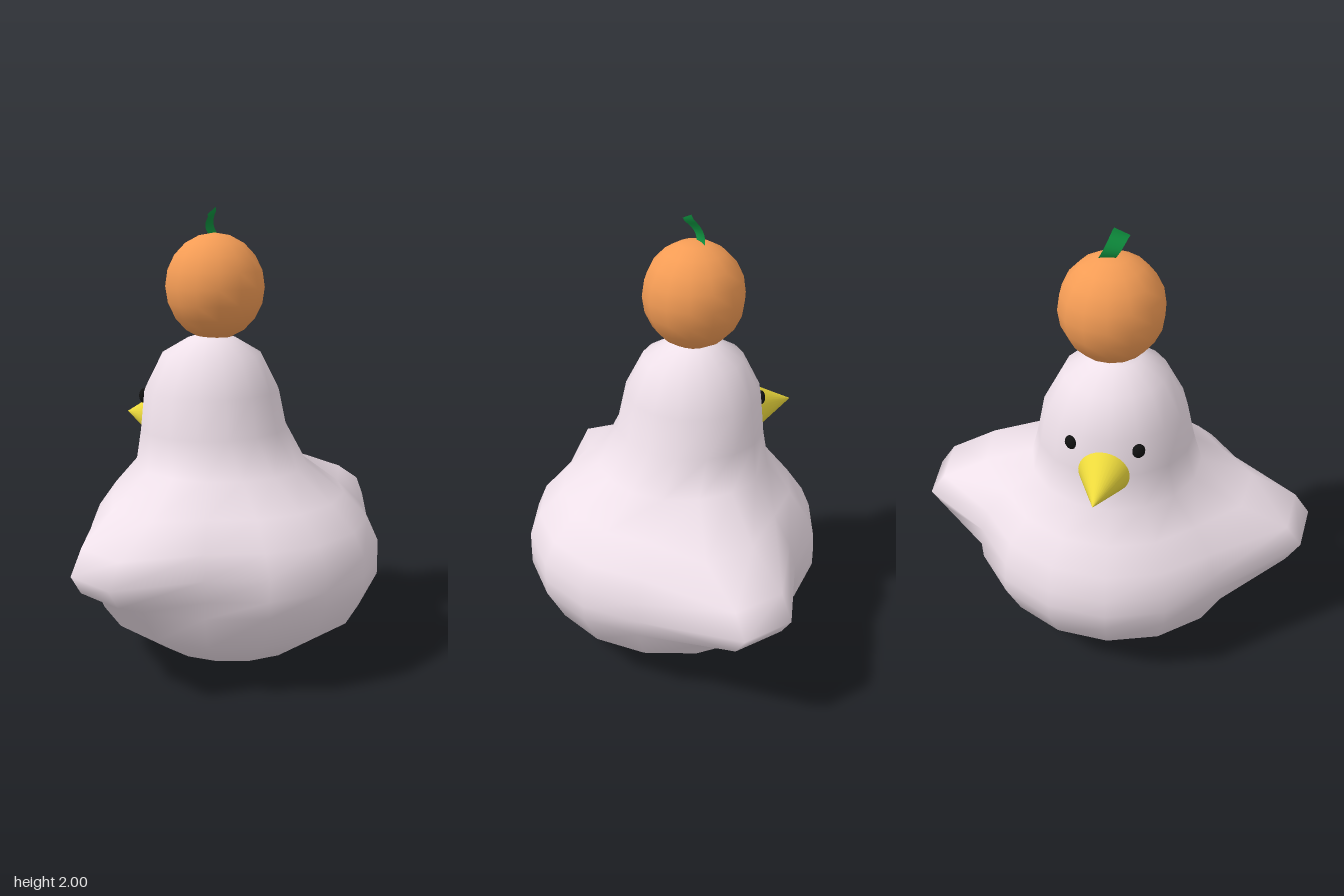
import * as THREE from 'three';

const mat = (color, side = THREE.FrontSide) => new THREE.MeshStandardMaterial({ color, side });

function addPart(group, name, geometry, material) {
  const mesh = new THREE.Mesh(geometry, material);
  mesh.name = name;
  group.add(mesh);
  return mesh;
}

// Body rings from bottom to top; wing = z reach of the pulled-out wing columns
const RINGS = [
  { y: 0, x: [0, 0], z: 0 },
  { y: 0.005, x: [-0.12, 0.12], z: 0.12 },
  { y: 0.06, x: [-0.36, 0.36], z: 0.36 },
  { y: 0.22, x: [-0.59, 0.59], z: 0.59 },
  { y: 0.38, x: [-0.67, 0.67], z: 0.66, wing: 0.69 },
  { y: 0.45, x: [-0.67, 0.67], z: 0.66, wing: 0.84 },
  { y: 0.54, x: [-0.67, 0.67], z: 0.65, wing: 0.9 },
  { y: 0.64, x: [-0.625, 0.62], z: 0.62, wing: 0.83 },
  { y: 0.75, x: [-0.55, 0.51], z: 0.52, wing: 0.62 },
  { y: 0.87, x: [-0.45, 0.34], z: 0.385 },
  { y: 1.03, x: [-0.42, 0.235], z: 0.345 },
  { y: 1.2, x: [-0.41, 0.2], z: 0.31 },
  { y: 1.36, x: [-0.33, 0.12], z: 0.225 },
  { y: 1.43, x: [-0.21, 0], z: 0.11 },
  { y: 1.455, x: [-0.12, -0.12], z: 0 },
];

function bodyGeometry() {
  const n = 16, pos = [], index = [];
  RINGS.forEach(({ y, x, z, wing }, j) => {
    for (let i = 0; i < n; i++) {
      const a = (i / n) * Math.PI * 2;
      let px = (x[0] + x[1]) / 2 + Math.cos(a) * (x[1] - x[0]) / 2;
      let pz = Math.sin(a) * z;
      // Two neighbouring columns per side are drawn out into a wing
      if (wing && [4, 5, 12, 13].includes(i)) {
        const side = i < 8 ? 1 : -1;
        px = i % 8 === 4 ? 0 : -0.235 * side;
        pz = side * (i === 5 ? wing - 0.05 : wing);
      }
      pos.push(px, y, pz);
      if (j === RINGS.length - 1) continue;
      const p = j * n + i, q = j * n + (i + 1) % n;
      index.push(p, p + n, q, q, p + n, q + n);
    }
  });
  const g = new THREE.BufferGeometry();
  g.setAttribute('position', new THREE.Float32BufferAttribute(pos, 3));
  g.setIndex(index);
  g.computeVertexNormals();
  return g;
}

// Thin leaf-like strip, bowed sideways and leaning forward
function stemGeometry() {
  const g = new THREE.PlaneGeometry(1, 1, 1, 8);
  const p = g.attributes.position;
  for (let i = 0; i < p.count; i++) {
    const u = p.getX(i), t = p.getY(i) + 0.5;
    const bow = 0.028 * Math.sin(Math.PI * Math.min(1, t + 0.1));
    p.setXYZ(i, -0.1 + 0.015 * t - bow, 1.87 + 0.115 * t - u * 0.03 * t,
      -0.04 + 0.065 * t + u * 0.065);
  }
  g.computeVertexNormals();
  return g;
}

export function createModel() {
  const group = new THREE.Group();
  group.name = 'birdWithFruit';

  addPart(group, 'bodyWithWings', bodyGeometry(), mat(0xeee0e9));

  // Round fruit balanced on the head
  const fruit = addPart(group, 'fruit', new THREE.SphereGeometry(1, 14, 10), mat(0xf49c55));
  fruit.scale.set(0.222, 0.235, 0.225);
  fruit.position.set(-0.097, 1.655, -0.015);
  addPart(group, 'stem', stemGeometry(), mat(0x0e8f3e, THREE.DoubleSide));

  // Beak points to -x
  const base = new THREE.Vector3(-0.41, 1.038, -0.024);
  const tip = new THREE.Vector3(-0.625, 1.03, -0.05);
  const beak = addPart(group, 'beak',
    new THREE.ConeGeometry(0.11, base.distanceTo(tip), 32), mat(0xecd93c));
  beak.position.copy(base).lerp(tip, 0.5);
  beak.quaternion.setFromUnitVectors(new THREE.Vector3(0, 1, 0), tip.clone().sub(base).normalize());

  // Small eyes either side of the beak, bulging outward
  for (const [name, x, z, turn] of [['leftEye', -0.4, 0.12, 0.35], ['rightEye', -0.362, -0.165, -0.45]]) {
    const eye = addPart(group, name, new THREE.SphereGeometry(1, 12, 8), mat(0x111111));
    eye.scale.set(0.02, 0.033, 0.028);
    eye.position.set(x, 1.155, z);
    eye.rotation.y = turn;
  }
  return group;
}
